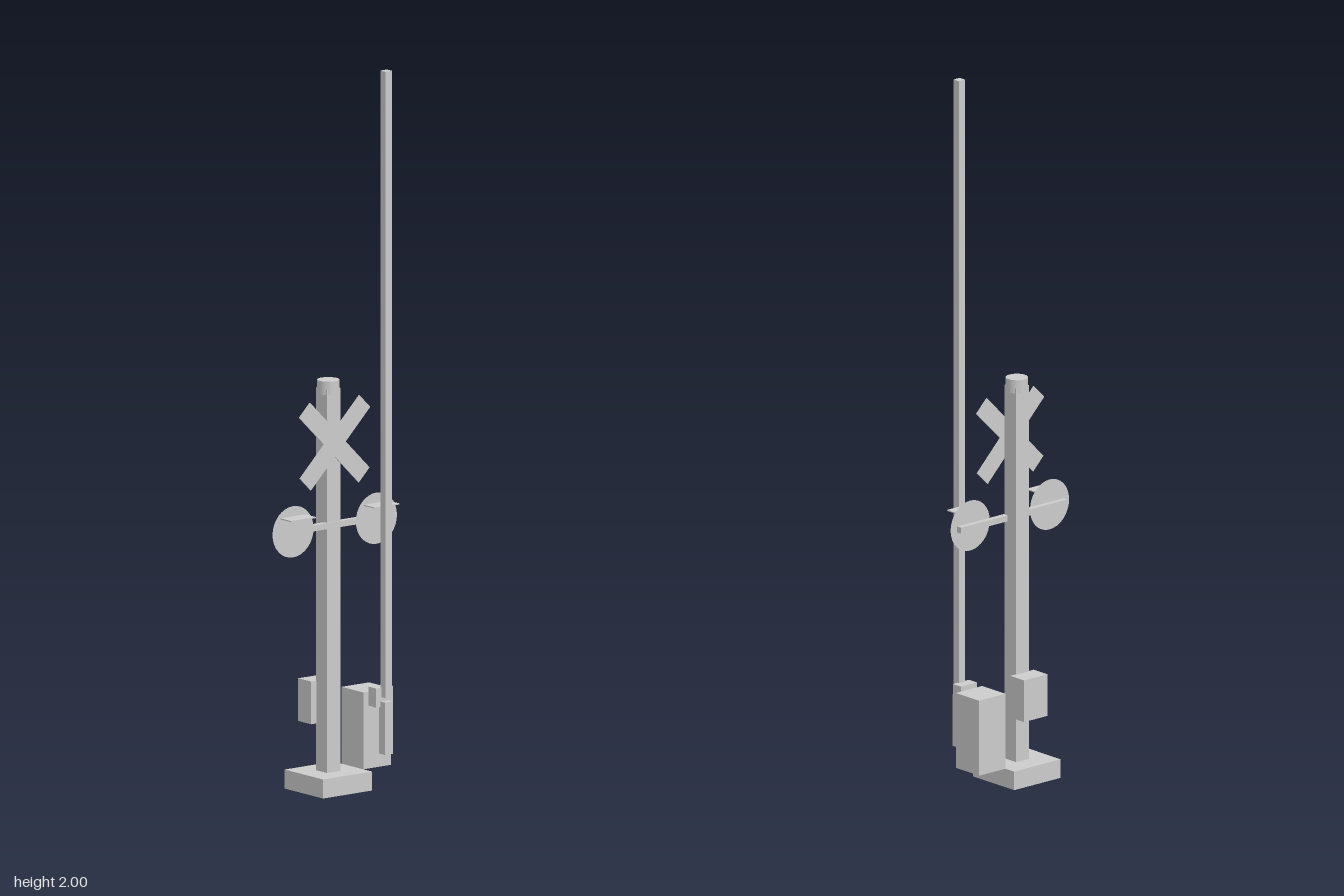
import * as THREE from 'three';

const grey = new THREE.MeshStandardMaterial({ color: 0xcccccc, flatShading: true });
const thin = new THREE.MeshStandardMaterial({ color: 0xcccccc, side: THREE.DoubleSide });

export function createModel() {
  const model = new THREE.Group();
  model.name = 'railwayCrossingSignal';

  const add = (name, geometry, x, y, z, material = grey) => {
    const mesh = new THREE.Mesh(geometry, material);
    mesh.name = name;
    mesh.position.set(x, y, z);
    model.add(mesh);
    return mesh;
  };
  // Box given by its lower and upper limits on each axis
  const box = (name, [x0, x1], [y0, y1], [z0, z1]) =>
    add(name, new THREE.BoxGeometry(x1 - x0, y1 - y0, z1 - z0),
      (x0 + x1) / 2, (y0 + y1) / 2, (z0 + z1) / 2);

  // Foundation, square post and round cap
  box('base', [-0.085, 0.085], [0, 0.053], [-0.0935, 0.0755]);
  box('post', [-0.0235, 0.0235], [0.053, 1.12], [-0.0325, 0.0145]);
  add('postCap', new THREE.CylinderGeometry(0.0305, 0.0305, 0.038, 32), 0, 1.124, -0.009,
    new THREE.MeshStandardMaterial({ color: 0xcccccc }));

  // Crossed sign boards
  for (const side of [-1, 1]) {
    const board = add('crossBoard', new THREE.BoxGeometry(0.292, 0.053, 0.0035),
      0, 0.971, 0.0185 + side * 0.0015);
    board.rotation.z = side * Math.PI / 4;
  }

  // Signal lights on their crossbar
  box('lightBar', [-0.194, 0.194], [0.733, 0.75], [0.002, 0.018]);
  for (const side of [-1, 1]) {
    const x = side * 0.145;
    add('lightDisc', new THREE.CircleGeometry(0.0715, 32), x, 0.742, 0.0195, thin);
    add('lens', new THREE.CircleGeometry(0.042, 32), x, 0.742, 0.0215, thin);
    box('visor', [x - 0.0435, x + 0.0435], [0.782, 0.785], [0.0195, 0.066]);
  }

  // Equipment box behind the post
  box('rearBox', [-0.043, 0.043], [0.184, 0.303], [-0.0865, -0.03]);

  // Gate mechanism with raised arm and counterweight
  box('gateHousing', [0.085, 0.181], [0.053, 0.267], [-0.058, 0.038]);
  box('pivotBracket', [0.103, 0.162], [0.228, 0.281], [0.038, 0.071]);
  box('gateArm', [0.1215, 0.1445], [0.255, 2], [0.0665, 0.0885]);
  box('counterweight', [0.119, 0.147], [0.097, 0.243], [0.0645, 0.0905]);

  return model;
}
